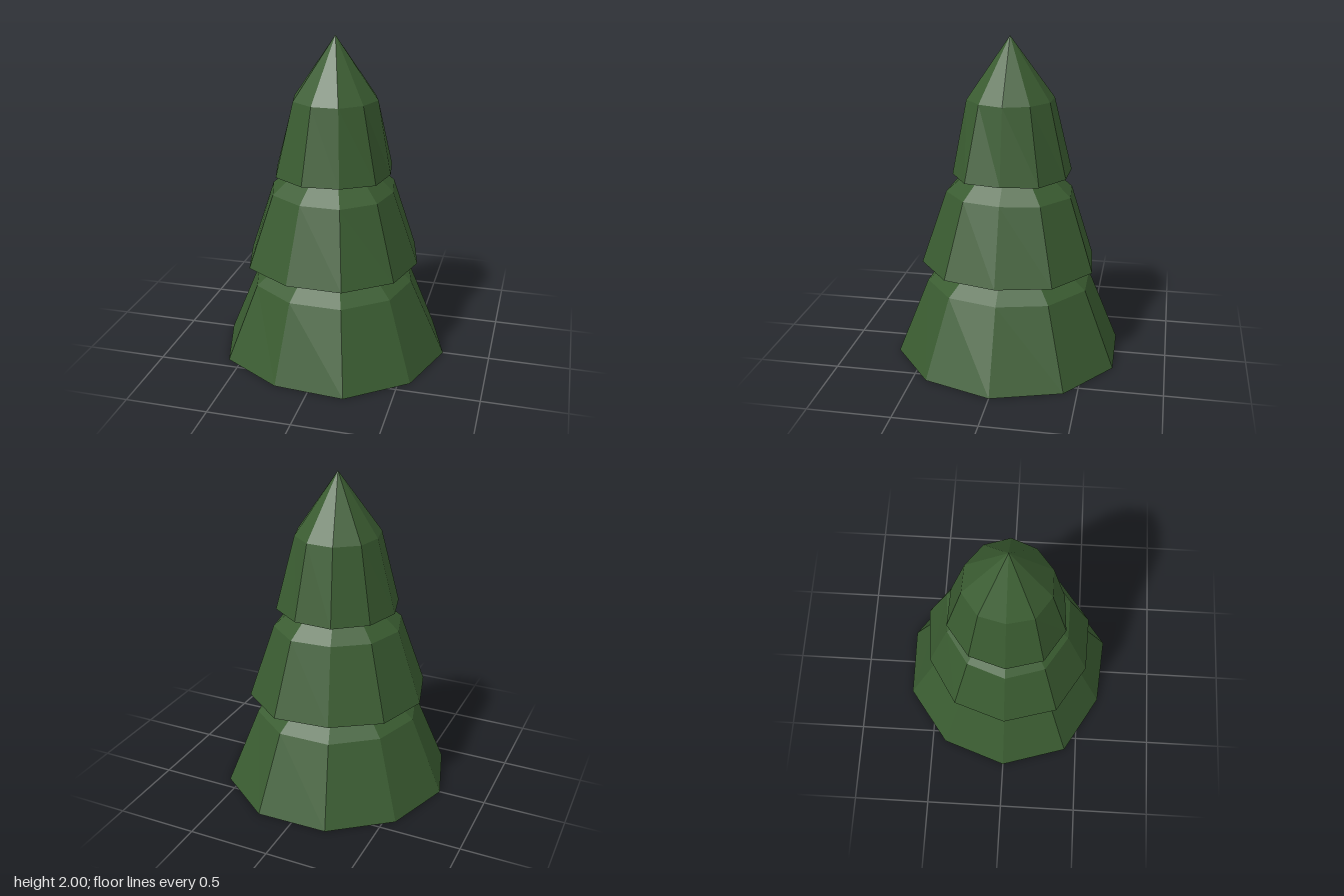
import * as THREE from 'three';

const foliage = new THREE.MeshStandardMaterial({ color: 0x3a5c31, flatShading: true, side: THREE.DoubleSide });
foliage.name = 'pine green';
const bark = new THREE.MeshStandardMaterial({ color: 0x6b4c3b, flatShading: true });
bark.name = 'bark brown';

const SIDES = 10;

// Radii run around the tier from +x towards +z, one per corner
const tiers = [
  {
    name: 'lowerBranches', rimY: 0, shoulderY: 0.48, apexY: 0.88,
    rim: [0.71, 0.705, 0.715, 0.678, 0.72, 0.71, 0.702, 0.71, 0.718, 0.715],
    shoulder: [0.49, 0.51, 0.52, 0.51, 0.52, 0.51, 0.51, 0.515, 0.52, 0.515],
  },
  {
    name: 'middleBranches', rimY: 0.605, shoulderY: 1.06, apexY: 1.41,
    rim: [0.525, 0.543, 0.552, 0.541, 0.566, 0.552, 0.551, 0.532, 0.564, 0.558],
    shoulder: [0.365, 0.385, 0.394, 0.39, 0.405, 0.4, 0.395, 0.39, 0.41, 0.4],
  },
  {
    name: 'topBranches', rimY: 1.17, shoulderY: 1.625, apexY: 2,
    rim: [0.345, 0.372, 0.353, 0.37, 0.384, 0.373, 0.378, 0.385, 0.376, 0.382],
    shoulder: [0.263, 0.254, 0.263, 0.263, 0.269, 0.255, 0.269, 0.273, 0.266, 0.262],
  },
];

// Open-bottomed faceted cone whose corners are pushed to uneven radii
function tierGeometry({ rimY, shoulderY, apexY, rim, shoulder }) {
  const profile = [
    new THREE.Vector2(1, rimY),
    new THREE.Vector2(1, shoulderY),
    new THREE.Vector2(0, apexY),
  ];
  const geometry = new THREE.LatheGeometry(profile, SIDES, Math.PI / 2);
  const pos = geometry.attributes.position;
  for (let i = 0; i < pos.count; i++) {
    const row = i % 3;
    if (row === 2) continue;
    const angle = Math.atan2(pos.getZ(i), pos.getX(i));
    const corner = (Math.round(angle / (2 * Math.PI / SIDES)) + SIDES) % SIDES;
    const r = (row === 0 ? rim : shoulder)[corner];
    pos.setX(i, pos.getX(i) * r);
    pos.setZ(i, pos.getZ(i) * r);
  }
  geometry.computeVertexNormals();
  return geometry;
}

export function createModel() {
  const tree = new THREE.Group();
  tree.name = 'pineTree';

  // Three stacked tiers of branches
  for (const tier of tiers) {
    const mesh = new THREE.Mesh(tierGeometry(tier), foliage);
    mesh.name = tier.name;
    tree.add(mesh);
  }

  // Slim trunk joining the tiers inside
  const trunk = new THREE.Mesh(new THREE.CylinderGeometry(0.06, 0.075, 0.75, 8), bark);
  trunk.name = 'trunk';
  trunk.position.y = 1.155;
  tree.add(trunk);

  return tree;
}
